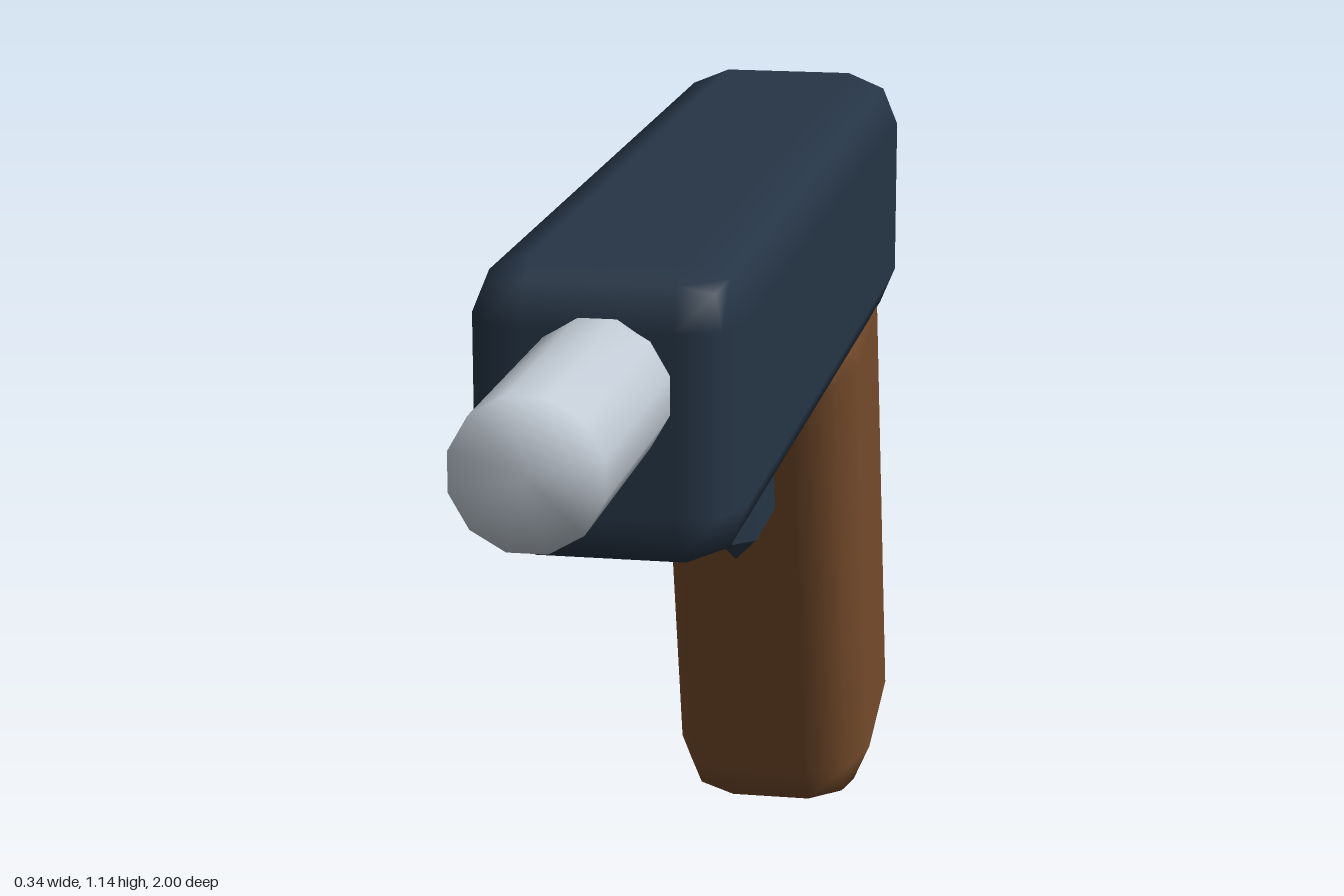
import * as THREE from 'three';
import { mergeVertices } from 'three/addons/utils/BufferGeometryUtils.js';
import { RoundedBoxGeometry } from 'three/addons/geometries/RoundedBoxGeometry.js';
import { ConvexGeometry } from 'three/addons/geometries/ConvexGeometry.js';

function material(name, color) {
  const m = new THREE.MeshStandardMaterial({ color });
  m.name = name;
  return m;
}

// Weld all corners so shading runs smoothly across every edge
function smooth(geometry) {
  geometry.deleteAttribute('uv');
  geometry.deleteAttribute('normal');
  const welded = mergeVertices(geometry);
  welded.computeVertexNormals();
  return welded;
}

// Thin box whose bevel meets in a ridge along its middle
function ridgedPlate(halfX, halfY, halfZ) {
  const points = [];
  const b = halfX;
  for (const sy of [-1, 1]) for (const sz of [-1, 1]) {
    for (const sx of [-1, 1]) points.push(new THREE.Vector3(sx * halfX, sy * (halfY - b), sz * (halfZ - b)));
    points.push(new THREE.Vector3(0, sy * halfY, sz * (halfZ - b)));
    points.push(new THREE.Vector3(0, sy * (halfY - b), sz * halfZ));
  }
  return new ConvexGeometry(points);
}

export function createModel() {
  const group = new THREE.Group();
  const navy = material('navy', 0x263546);
  const wood = material('brown', 0x764c2c);
  const steel = material('steel', 0xc3ccd6);

  function add(name, geometry, mat, x, y, z) {
    const mesh = new THREE.Mesh(geometry, mat);
    mesh.name = name;
    mesh.position.set(x, y, z);
    group.add(mesh);
    return mesh;
  }

  // Long bevelled body
  add('body', new RoundedBoxGeometry(0.336, 0.375, 1.51, 1, 0.075), navy, 0, 0.958, -0.131);

  // Tilted grip, its top sunk into the body
  const grip = add('grip', new RoundedBoxGeometry(0.3, 0.86, 0.37, 1, 0.09), wood, 0, 0.446, -0.738);
  grip.rotation.x = 0.25;

  // Trigger in front of the grip
  add('trigger', ridgedPlate(0.03, 0.1125, 0.14), navy, 0, 0.6175, -0.46);

  // Twelve-sided barrel, its rear end inside the body
  const tube = new THREE.CylinderGeometry(0.091, 0.091, 0.5, 12);
  tube.rotateY(Math.PI / 12);
  tube.rotateX(Math.PI / 2);
  add('barrel', smooth(tube), steel, 0, 0.997, 0.75);

  return group;
}
